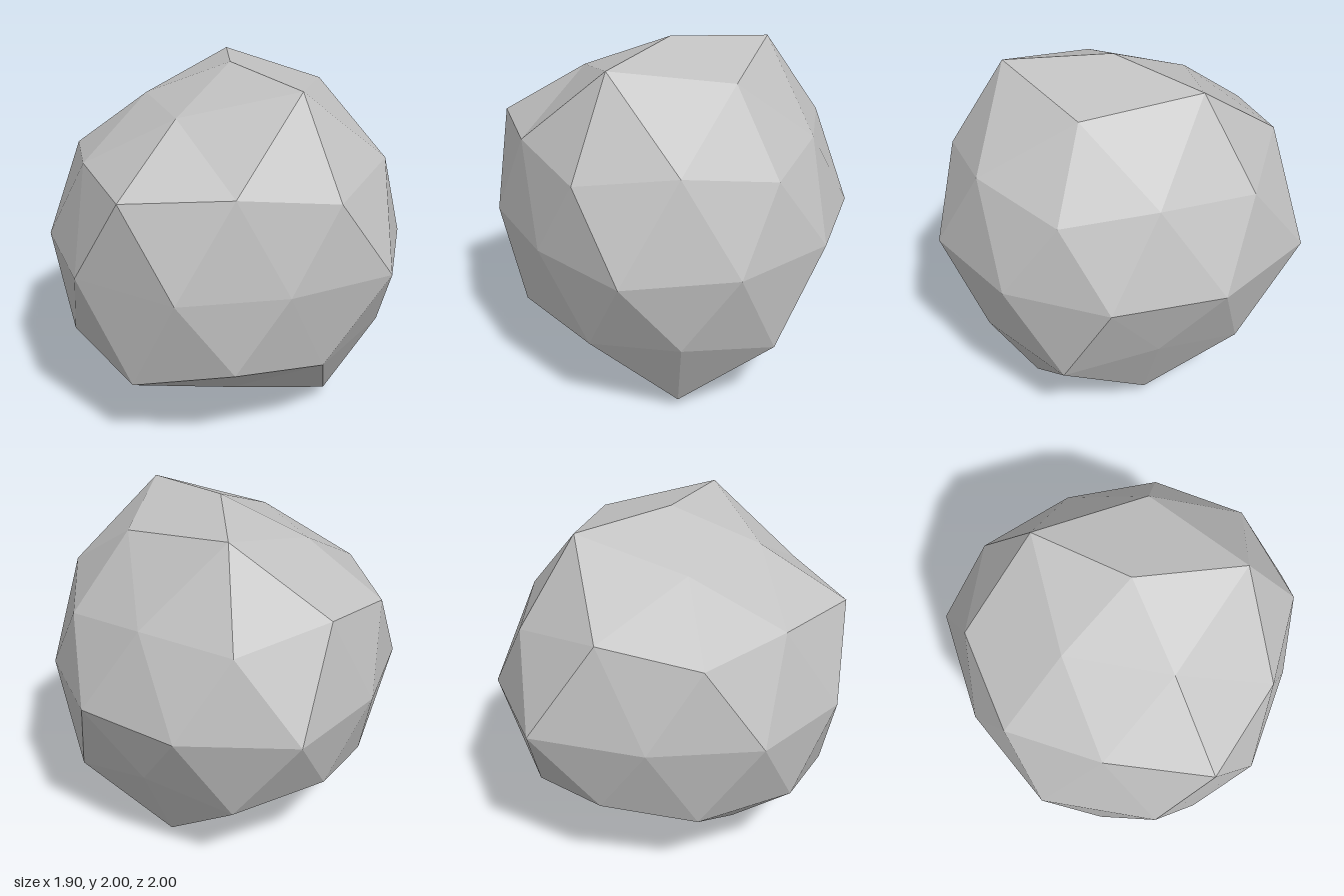
import * as THREE from 'three';

// Centre of the boulder; every vertex lies at its own radius from here
const CENTRE = new THREE.Vector3(0.023, 1.008, 0.095);

// Point at a given height of the unit sphere, angle (from +x towards +z) and radius
function point(height, degrees, radius) {
  const a = THREE.MathUtils.degToRad(degrees);
  const h = Math.sqrt(1 - height * height);
  return new THREE.Vector3(h * Math.cos(a), height, h * Math.sin(a)).multiplyScalar(radius).add(CENTRE);
}

// Ring of evenly spaced points, one radius for each
function ring(height, start, radii) {
  return radii.map((r, i) => point(height, start + (i * 360) / radii.length, r));
}

export function createModel() {
  const group = new THREE.Group();
  group.name = 'boulder';
  const stone = new THREE.MeshStandardMaterial({ color: 0xc2c2c2, flatShading: true });
  stone.name = 'stone grey';

  // Rings of a once-divided icosahedron, from top to bottom
  const top = point(1, 0, 0.992);
  const cap = ring(0.8507, 0, [1.01, 1.122, 0.937, 0.923, 1.1]);
  const upperEdge = ring(0.5257, 36, [1.013, 0.993, 0.974, 1.04, 0.933]);
  const upper = ring(0.4472, 0, [0.962, 1.01, 1.098, 1.021, 1.022]);
  const equator = ring(0, 18, [0.974, 1.027, 0.905, 0.985, 1.022, 1.027, 0.974, 1.095, 1.013, 0.976]);
  const lower = ring(-0.4472, 36, [0.975, 0.978, 1.034, 0.982, 0.9]);
  const lowerEdge = ring(-0.5257, 72, [0.96, 1.073, 0.988, 1.005, 1.026]);
  const base = ring(-0.8507, 36, [1.115, 0.89, 0.982, 0.885, 1.063]);
  const bottom = point(-1, 0, 1.008);

  const positions = [];
  // One facet, turned so that it faces outwards
  function facet(a, b, c) {
    const normal = b.clone().sub(a).cross(c.clone().sub(a));
    const outward = a.clone().add(b).add(c).divideScalar(3).sub(CENTRE);
    const corners = normal.dot(outward) > 0 ? [a, b, c] : [a, c, b];
    corners.forEach((p) => positions.push(p.x, p.y, p.z));
  }
  // Large triangle divided into four by its edge points
  function divided(a, b, c, ab, bc, ca) {
    facet(a, ab, ca);
    facet(b, ab, bc);
    facet(c, bc, ca);
    facet(ab, bc, ca);
  }

  for (let k = 0; k < 5; k++) {
    const j = (k + 1) % 5;
    const e0 = equator[2 * k], e1 = equator[2 * k + 1], e2 = equator[2 * j];
    divided(top, upper[k], upper[j], cap[k], upperEdge[k], cap[j]);
    divided(upper[k], upper[j], lower[k], upperEdge[k], e1, e0);
    divided(lower[k], lower[j], upper[j], lowerEdge[k], e2, e1);
    divided(bottom, lower[k], lower[j], base[k], lowerEdge[k], base[j]);
  }

  const geometry = new THREE.BufferGeometry();
  geometry.setAttribute('position', new THREE.Float32BufferAttribute(positions, 3));
  geometry.computeVertexNormals();
  const rock = new THREE.Mesh(geometry, stone);
  rock.name = 'rock';
  group.add(rock);
  return group;
}
